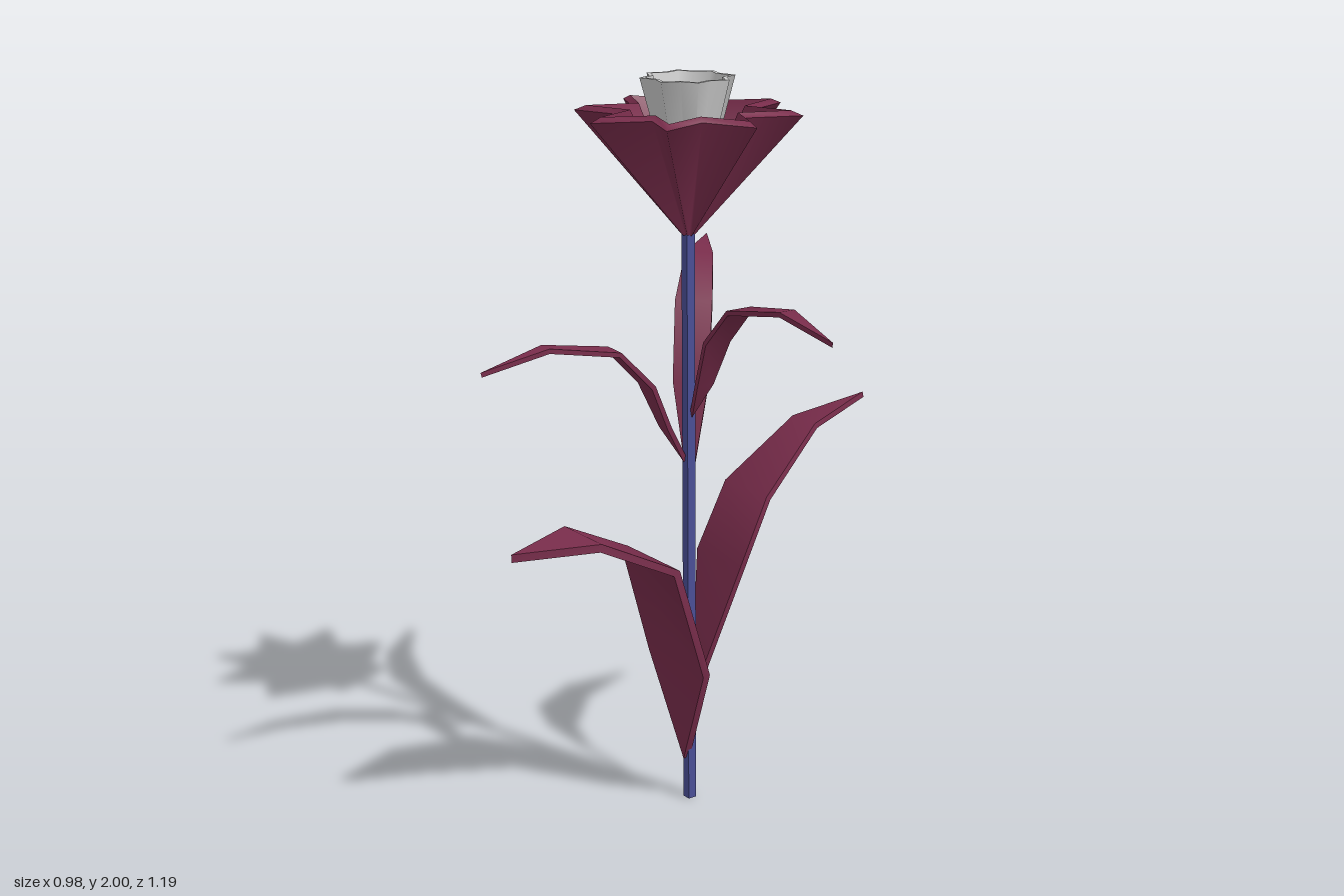
import * as THREE from 'three';
import { mergeGeometries } from 'three/addons/utils/BufferGeometryUtils.js';

const plum = new THREE.MeshStandardMaterial({ color: 0x7a2d4c, side: THREE.DoubleSide });
const grey = new THREE.MeshStandardMaterial({ color: 0xcccccc, side: THREE.DoubleSide });
const blue = new THREE.MeshStandardMaterial({ color: 0x4a4f96 });

// Smooth surface through rows of points; wrap joins the last column to the first.
function skin(rows, wrap = false) {
  const n = rows[0].length;
  const index = [];
  for (let i = 0; i < rows.length - 1; i++) {
    for (let j = 0; j < (wrap ? n : n - 1); j++) {
      const k = (j + 1) % n;
      const a = i * n + j, b = a + n, c = (i + 1) * n + k, d = i * n + k;
      index.push(a, b, c, a, c, d);
    }
  }
  const g = new THREE.BufferGeometry();
  g.setAttribute('position', new THREE.Float32BufferAttribute(rows.flat(2), 3));
  g.setIndex(index);
  g.computeVertexNormals();
  return g;
}

// Arching blade growing toward +z; each station is [distance, height, half width].
function bladeGeometry(stations, thickness) {
  const sections = stations.map(([z, y, w], i) => {
    const p = stations[Math.max(i - 1, 0)];
    const q = stations[Math.min(i + 1, stations.length - 1)];
    const len = Math.hypot(q[0] - p[0], q[1] - p[1]);
    const nz = -(q[1] - p[1]) / len * thickness / 2;
    const ny = (q[0] - p[0]) / len * thickness / 2;
    return [
      [-w, y + ny, z + nz], [w, y + ny, z + nz],
      [w, y - ny, z - nz], [-w, y - ny, z - nz],
    ];
  });
  // Separate strips keep the long edges sharp
  return mergeGeometries([0, 1, 2, 3].map(k => skin(sections.map(s => [s[k], s[(k + 1) % 4]]))));
}

// Ring of alternating tips and notches
function starRing(tip, notch, y, turn) {
  return Array.from({ length: 16 }, (_, i) => {
    const r = i % 2 ? notch : tip, a = i * Math.PI / 8 + turn;
    return [r * Math.cos(a), y, r * Math.sin(a)];
  });
}

// Hollow star-shaped cone: outside, rim and inside
function starCup(base, outer, inner, floor, turn) {
  const [b, o, i, f] = [base, outer, inner, floor].map(s => starRing(...s, turn));
  return mergeGeometries([skin([b, o], true), skin([o, i], true), skin([i, f], true)]);
}

export function createModel() {
  const model = new THREE.Group();
  const plant = new THREE.Group();
  plant.name = 'flower';
  plant.position.set(-0.11, 0, -0.008);
  model.add(plant);

  const add = (name, geometry, material, turn = 0) => {
    const mesh = new THREE.Mesh(geometry, material);
    mesh.name = name;
    mesh.rotation.y = turn;
    plant.add(mesh);
    return mesh;
  };

  // Square stem
  add('stem', new THREE.BoxGeometry(0.025, 1.65, 0.025).translate(0, 0.825, 0), blue);

  // Eight-pointed petals around an eight-pointed cup
  add('petals', starCup([0.016, 0.012, 1.59], [0.297, 0.165, 1.907],
    [0.265, 0.15, 1.92], [0.008, 0.006, 1.62], 0), plum);
  add('cup', starCup([0.02, 0.016, 1.61], [0.125, 0.1, 2],
    [0.112, 0.089, 2], [0.015, 0.012, 1.635], Math.PI / 8), grey);

  // Broad lower leaves
  add('frontLeaf', bladeGeometry([[0.01, 0.12, 0], [0.035, 0.41, 0.13],
    [0.125, 0.72, 0.123], [0.34, 0.825, 0.09], [0.555, 0.815, 0]], 0.022), plum);
  add('backLeaf', bladeGeometry([[0.01, 0.28, 0], [0.105, 0.68, 0.1],
    [0.195, 0.86, 0.095], [0.39, 1.02, 0.05], [0.595, 1.065, 0]], 0.016), plum, Math.PI);

  // Two matching slender leaves, the second lower on the stem
  const slender = [[0.01, 0, 0], [0.07, 0.1, 0.026], [0.125, 0.225, 0.04],
    [0.22, 0.325, 0.039], [0.415, 0.357, 0.024], [0.595, 0.313, 0]];
  [['leftLeaf', 1.105, Math.PI / 2 + 0.015], ['upperFrontLeaf', 0.98, -0.106]].forEach(([name, y, turn]) => {
    add(name, bladeGeometry(slender, 0.013), plum, turn).position.y = y;
  });

  // Upright leaf leaning back to the right
  add('rightLeaf', bladeGeometry([[0.01, 0.87, 0], [0.06, 1.18, 0.048],
    [0.14, 1.38, 0.05], [0.285, 1.477, 0.038], [0.505, 1.484, 0]], 0.014), plum, Math.atan2(-0.38, -0.33));

  return model;
}
